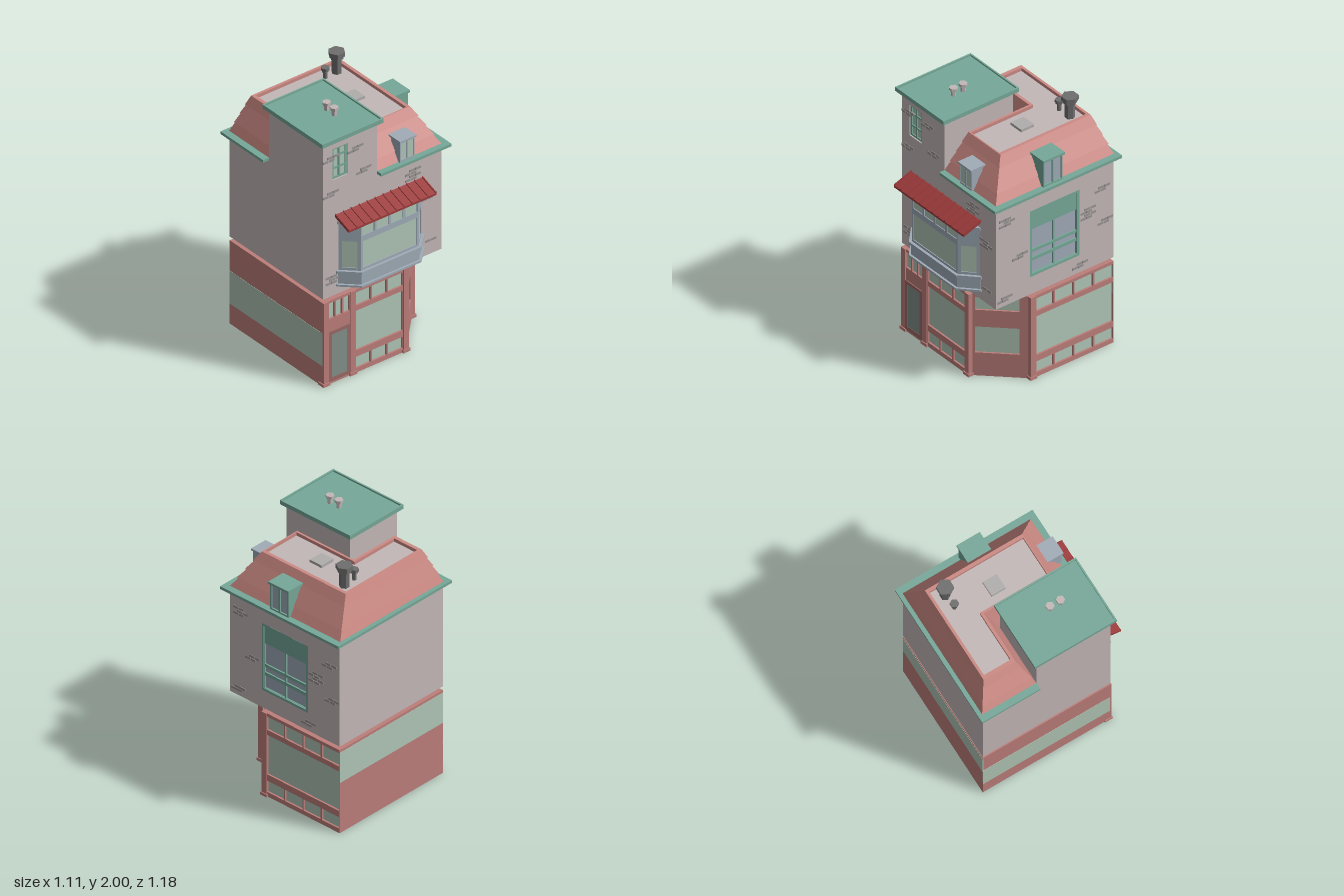
import * as THREE from 'three';

const mat = (color) => new THREE.MeshStandardMaterial({ color, flatShading: true });
const M = {
  stone: mat(0xc4b8b8), brick: mat(0x9a9494), pink: mat(0xbc7e7a), glass: mat(0xb0c6b6),
  teal: mat(0x76a898), blue: mat(0xa0acb8), tile: mat(0xcc8a84), red: mat(0x9c3a3a),
  iron: mat(0x6e6e6e), door: mat(0x9a6a66), doorGlass: mat(0x84908a), grey: mat(0xb0aeac),
};

function add(parent, name, geo, material) {
  const mesh = new THREE.Mesh(geo, material);
  mesh.name = name;
  parent.add(mesh);
  return mesh;
}

// axis-aligned block given by its limits
function block(parent, name, m, x0, x1, y0, y1, z0, z1) {
  const mesh = add(parent, name, new THREE.BoxGeometry(x1 - x0, y1 - y0, z1 - z0), m);
  mesh.position.set((x0 + x1) / 2, (y0 + y1) / 2, (z0 + z1) / 2);
  return mesh;
}

// vertical prism over a plan outline of [x, z] points
function prism(parent, name, m, plan, y0, y1) {
  const shape = new THREE.Shape(plan.map(([x, z]) => new THREE.Vector2(x, -z)));
  const geo = new THREE.ExtrudeGeometry(shape, { depth: y1 - y0, bevelEnabled: false });
  return add(parent, name, geo.rotateX(-Math.PI / 2).translate(0, y0, 0), m);
}

const rect = (u0, v0, u1, v1) => [[u0, v0], [u1, v0], [u1, v1], [u0, v1]];

// wall panel with openings [u0, v0, u1, v1]; its outer face passes through (x, z), turned by angle
function wall(parent, name, m, x, z, angle, outline, holes, depth, paneMat) {
  const g = new THREE.Group();
  g.name = name;
  g.position.set(x - Math.sin(angle) * depth, 0, z - Math.cos(angle) * depth);
  g.rotation.y = angle;
  parent.add(g);
  const vec = (pts) => pts.map(([u, v]) => new THREE.Vector2(u, v));
  const shape = new THREE.Shape(vec(outline));
  for (const h of holes) {
    shape.holes.push(new THREE.Path(vec(rect(...h)).reverse()));
    if (paneMat) block(g, 'pane', paneMat, h[0], h[2], h[1], h[3], 0, 0.006);
  }
  add(g, 'panel', new THREE.ExtrudeGeometry(shape, { depth, bevelEnabled: false }), m);
  return g;
}

// n equal openings in a row
function row(n, u0, u1, gap, v0, v1) {
  const w = (u1 - u0 - gap * (n - 1)) / n;
  return Array.from({ length: n }, (_, i) => [u0 + i * (w + gap), v0, u0 + i * (w + gap) + w, v1]);
}

// flat-shaded skin over successive rings of points [x, y, z]
function loft(rings) {
  const pos = [];
  for (let k = 0; k + 1 < rings.length; k++) {
    const a = rings[k], b = rings[k + 1];
    a.forEach((_, i) => {
      const j = (i + 1) % a.length;
      pos.push(...a[i], ...b[j], ...a[j], ...a[i], ...b[i], ...b[j]);
    });
  }
  const geo = new THREE.BufferGeometry();
  geo.setAttribute('position', new THREE.Float32BufferAttribute(pos, 3));
  geo.computeVertexNormals();
  return geo;
}

// hexagonal flue: stem plus two-step cap
function flue(parent, name, m, x, z, y0, y1, stemR, capR, capH) {
  const g = new THREE.Group();
  g.name = name;
  g.position.set(x, 0, z);
  g.rotation.y = Math.PI / 6;
  parent.add(g);
  const parts = [[stemR, y0, y1 - capH], [capR * 0.8, y1 - capH, y1 - capH * 0.6], [capR, y1 - capH * 0.6, y1]];
  for (const [r, a, b] of parts)
    add(g, 'flueSection', new THREE.CylinderGeometry(r, r, b - a, 6), m).position.y = (a + b) / 2;
}

function groundFloor(root) {
  const g = new THREE.Group();
  g.name = 'groundFloor';
  root.add(g);
  prism(g, 'shopCore', M.pink, [[-0.505, 0.425], [0.1915, 0.425], [0.485, 0.122], [0.485, -0.555], [-0.505, -0.555]], 0, 0.66);
  const bays = (n, u0, u1) => [...row(n, u0, u1, 0.012, 0.035, 0.125), [u0, 0.175, u1, 0.49], ...row(n, u0, u1, 0.012, 0.53, 0.635)];
  // shop front with door opening left solid
  wall(g, 'shopFront', M.pink, 0, 0.445, 0, rect(-0.505, 0, 0.2, 0.66),
    [...bays(3, -0.225, 0.172), ...row(3, -0.46, -0.28, 0.012, 0.515, 0.64)], 0.02, M.glass);
  wall(g, 'doorFrame', M.door, 0, 0.452, 0, rect(-0.46, 0.02, -0.28, 0.415), [[-0.435, 0.05, -0.305, 0.39]], 0.008, M.doorGlass);
  wall(g, 'shopSide', M.pink, 0.505, 0, Math.PI / 2, rect(-0.13, 0, 0.555, 0.66), bays(4, -0.11, 0.55), 0.02, M.glass);
  // chamfered corner
  const len = Math.hypot(0.305, 0.315);
  wall(g, 'shopCorner', M.pink, 0.2, 0.445, Math.atan2(0.315, 0.305), rect(0, 0, len, 0.66),
    [[0.05, 0.185, len - 0.09, 0.395], [0.05, 0.53, len - 0.09, 0.635]], 0.02, M.glass);
  // pilasters with plinths
  for (const [x, z] of [[-0.483, 0.43], [-0.253, 0.43], [0.2, 0.43], [0.49, 0.13]]) {
    block(g, 'pilaster', M.pink, x - 0.023, x + 0.023, 0, 0.66, z - 0.023, z + 0.023);
    block(g, 'plinth', M.pink, x - 0.03, x + 0.03, 0, 0.022, z - 0.03, z + 0.03);
  }
  block(g, 'backBand', M.glass, -0.505, 0.503, 0.40, 0.64, -0.557, -0.55);
  block(g, 'leftBand', M.glass, -0.507, -0.5, 0.16, 0.42, -0.555, 0.44);
}

function upperWalls(root) {
  const g = new THREE.Group();
  g.name = 'upperFloors';
  root.add(g);
  block(g, 'upperCore', M.stone, -0.505, 0.48, 0.69, 1.51, -0.555, 0.42);
  block(g, 'towerCore', M.stone, -0.505, -0.045, 1.51, 1.92, -0.135, 0.42);
  const win = [-0.425, 1.605, -0.295, 1.85];
  wall(g, 'frontWall', M.stone, 0, 0.445, 0,
    [[-0.505, 0.69], [0.48, 0.69], [0.48, 1.51], [-0.045, 1.51], [-0.045, 1.92], [-0.505, 1.92]], [win], 0.025);
  wall(g, 'towerWindow', M.teal, 0, 0.435, 0, rect(...win),
    [[1.62, 1.682], [1.695, 1.775], [1.79, 1.835]].flatMap(([a, b]) => row(2, -0.41, -0.31, 0.012, a, b)), 0.014, M.glass);
  const big = [-0.155, 0.83, 0.265, 1.36];
  wall(g, 'sideWall', M.stone, 0.505, 0, Math.PI / 2, rect(-0.445, 0.69, 0.555, 1.51), [big], 0.025);
  wall(g, 'sideWindow', M.teal, 0.498, 0, Math.PI / 2, rect(...big),
    [[0.85, 0.95], [0.975, 1.018], [1.04, 1.205]].flatMap(([a, b]) => row(2, -0.135, 0.245, 0.012, a, b)), 0.017, M.blue);
  wall(g, 'windowTrim', M.teal, 0.506, 0, Math.PI / 2, rect(...big), [[-0.137, 0.848, 0.247, 1.342]], 0.01);
  // scattered exposed bricks: wall position u, height, rows
  const bricks = (angle, spots) => {
    for (const [u, y, n] of spots)
      for (let r = 0; r < n; r++)
        for (let i = 0; i < 2; i++) {
          const b = add(g, 'brick', new THREE.BoxGeometry(0.046, 0.018, 0.006), M.brick);
          const c = u + (i - 0.5) * 0.05 + (r % 2 ? 0.018 : -0.018);
          b.position.set(angle ? 0.505 : c, y + (r - (n - 1) / 2) * 0.023, angle ? -c : 0.445);
          b.rotation.y = angle;
        }
  };
  bricks(0, [[-0.44, 1.78, 2], [-0.23, 1.78, 2], [-0.16, 1.585, 2], [-0.44, 1.5, 2],
    [0.26, 1.38, 4], [0.4, 1.16, 3], [-0.42, 0.82, 3], [0.43, 0.8, 1]]);
  bricks(Math.PI / 2, [[-0.35, 1.36, 3], [-0.24, 1.04, 2], [0.34, 1.14, 4], [0.46, 1.29, 2],
    [0.485, 1.02, 2], [0.27, 0.75, 2], [-0.37, 0.745, 2]]);
}

function bayWindow(root) {
  const g = new THREE.Group();
  g.name = 'bayWindow';
  root.add(g);
  const cx = -0.02;
  const plan = (e) => [[cx - 0.355 - e, 0.44], [cx - 0.355 - e, 0.445 + e * 0.4], [cx - 0.245 - e * 0.4, 0.55 + e],
    [cx + 0.245 + e * 0.4, 0.55 + e], [cx + 0.355 + e, 0.445 + e * 0.4], [cx + 0.355 + e, 0.44]];
  prism(g, 'bayCore', M.blue, plan(-0.012), 0.87, 1.26);
  prism(g, 'bayBase', M.blue, plan(0.004), 0.76, 0.86);
  for (const [y0, y1, e] of [[0.755, 0.77, 0.02], [0.855, 0.876, 0.02], [1.243, 1.265, 0.01]])
    prism(g, 'bayMoulding', M.blue, plan(e), y0, y1);
  wall(g, 'bayFront', M.blue, cx, 0.55, 0, rect(-0.245, 0.87, 0.245, 1.25),
    [[-0.228, 0.895, 0.228, 1.105], ...row(4, -0.235, 0.235, 0.02, 1.15, 1.24)], 0.012, M.glass);
  const len = Math.hypot(0.11, 0.105), a = Math.atan2(0.105, 0.11);
  const side = [rect(0, 0.87, len, 1.25), [[0.025, 0.895, len - 0.025, 1.105]], 0.012, M.glass];
  wall(g, 'baySide', M.blue, cx + 0.245, 0.55, a, ...side);
  wall(g, 'baySide', M.blue, cx - 0.355, 0.445, -a, ...side);
  // sloping canopy with raised seams
  const canopy = (name, x0, x1, lift) => {
    const s = new THREE.Shape([[0.44, 1.308], [0.592, 1.255], [0.592, 1.27 + lift], [0.44, 1.325 + lift]].map((p) => new THREE.Vector2(...p)));
    const geo = new THREE.ExtrudeGeometry(s, { depth: x1 - x0, bevelEnabled: false });
    add(g, name, geo.rotateY(-Math.PI / 2).translate(x1, 0, 0), M.red);
  };
  canopy('canopy', -0.405, 0.345, 0);
  for (let i = 0; i <= 11; i++) canopy('canopySeam', -0.405 + i * 0.0675, -0.397 + i * 0.0675, 0.008);
}

function roofs(root) {
  const g = new THREE.Group();
  g.name = 'roof';
  root.add(g);
  // L-shaped plan around the tower
  const ell = (x0, x1, z0, z1, xi, zi) => [[x0, z0], [x1, z0], [x1, z1], [xi, z1], [xi, zi], [x0, zi]];
  prism(g, 'eaves', M.teal, ell(-0.555, 0.555, -0.59, 0.49, -0.045, -0.135), 1.505, 1.526);
  const base = ell(-0.505, 0.505, -0.56, 0.445, -0.045, -0.135);
  const top = ell(-0.385, 0.36, -0.475, 0.29, 0.015, -0.225);
  const inner = ell(-0.358, 0.335, -0.455, 0.28, 0.032, -0.247);
  const ring = (t, y) => base.map(([x, z], i) => [x + (top[i][0] - x) * t, y, z + (top[i][1] - z) * t]);
  // four stepped courses, then the parapet
  const rings = [];
  for (let k = 0; k < 4; k++) {
    rings.push(ring(Math.max(0, k / 4 - 0.03), 1.526 + k * 0.0685));
    rings.push(ring((k + 1) / 4 + (k < 3 ? 0.03 : 0), 1.526 + (k + 1) * 0.0685));
  }
  rings.push(inner.map(([x, z]) => [x, 1.8, z]), inner.map(([x, z]) => [x, 1.77, z]));
  add(g, 'mansard', loft(rings), M.tile);
  prism(g, 'flatRoof', M.stone, inner, 1.76, 1.775);
  block(g, 'skylight', M.grey, 0.095, 0.21, 1.77, 1.795, -0.115, -0.005);
  flue(g, 'largeFlue', M.iron, 0.265, -0.375, 1.77, 1.945, 0.036, 0.06, 0.055);
  flue(g, 'smallFlue', M.iron, 0.16, -0.367, 1.77, 1.862, 0.016, 0.031, 0.033);
  // tower roof with rim and vents
  const [x0, x1, z0, z1] = [-0.537, -0.015, -0.165, 0.477];
  block(g, 'towerRoof', M.teal, x0, x1, 1.915, 1.935, z0, z1);
  wall(g, 'towerRim', M.teal, 0, 0, 0, rect(x0, -z1, x1, -z0), [[x0 + 0.012, 0.012 - z1, x1 - 0.012, -z0 - 0.012]], 0.015)
    .rotation.x = -Math.PI / 2;
  const rim = g.children[g.children.length - 1];
  rim.position.set(0, 1.932, 0);
  for (const z of [0.14, 0.222]) flue(g, 'vent', M.stone, -0.232, z, 1.93, 2, 0.018, 0.031, 0.028);
  // dormers
  block(g, 'frontDormer', M.blue, 0.137, 0.265, 1.526, 1.69, 0.34, 0.45);
  wall(g, 'frontDormerWindow', M.blue, 0, 0.46, 0, rect(0.137, 1.526, 0.265, 1.69), row(2, 0.147, 0.255, 0.012, 1.54, 1.675), 0.01, M.glass);
  block(g, 'frontDormerRoof', M.blue, 0.13, 0.272, 1.687, 1.7, 0.34, 0.472);
  block(g, 'sideDormer', M.teal, 0.37, 0.51, 1.526, 1.73, -0.107, 0.058);
  wall(g, 'sideDormerWindow', M.teal, 0.527, 0, Math.PI / 2, rect(-0.058, 1.526, 0.107, 1.73), row(2, -0.046, 0.095, 0.012, 1.538, 1.718), 0.017, M.blue);
  block(g, 'sideDormerRoof', M.teal, 0.387, 0.538, 1.727, 1.745, -0.117, 0.066);
}

export function createModel() {
  const root = new THREE.Group();
  root.name = 'cornerHouse';
  groundFloor(root);
  upperWalls(root);
  bayWindow(root);
  roofs(root);
  return root;
}
